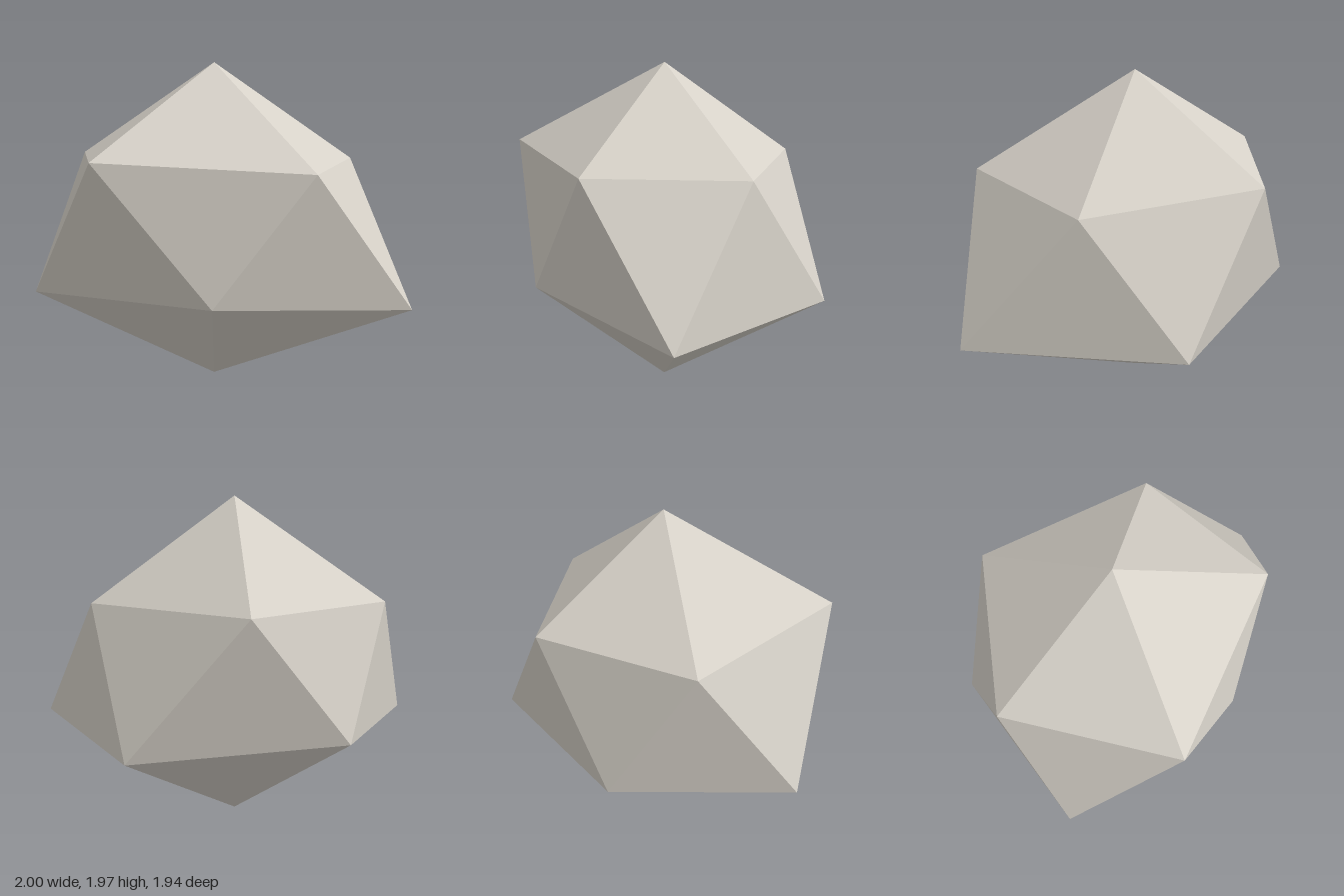
import * as THREE from 'three';

// Irregular boulder: two rings of five corners, capped by a peak and a foot
export function createModel() {
  const stone = new THREE.MeshStandardMaterial({ color: 0xd6d1c8 });
  stone.name = 'pale warm stone';

  const peak = [0.025, 1.97, -0.035];
  const foot = [0.025, 0, -0.035];
  // Rings run counter-clockwise seen from above; lower[i] sits between upper[i] and upper[i + 1]
  const upper = [
    [-0.93, 1.46, 0.22], [0.11, 1.4, 0.9], [0.83, 1.37, 0.29],
    [0.48, 1.4, -0.75], [-0.51, 1.38, -0.77],
  ];
  const lower = [
    [-0.42, 0.66, 0.67], [0.77, 0.555, 0.97], [1, 0.58, -0.3],
    [-0.06, 0.65, -0.97], [-1, 0.585, -0.46],
  ];

  // Cap, zigzag belt and underside, one slice per ring corner; unshared corners keep facets flat
  const points = [];
  for (let i = 0; i < 5; i++) {
    const j = (i + 1) % 5;
    points.push(
      peak, upper[i], upper[j],
      upper[i], lower[i], upper[j],
      lower[i], lower[j], upper[j],
      foot, lower[j], lower[i],
    );
  }
  const geometry = new THREE.BufferGeometry();
  geometry.setAttribute('position', new THREE.Float32BufferAttribute(points.flat(), 3));
  geometry.computeVertexNormals();

  const boulder = new THREE.Mesh(geometry, stone);
  boulder.name = 'boulder';
  const group = new THREE.Group();
  group.name = 'rock';
  group.add(boulder);
  return group;
}
